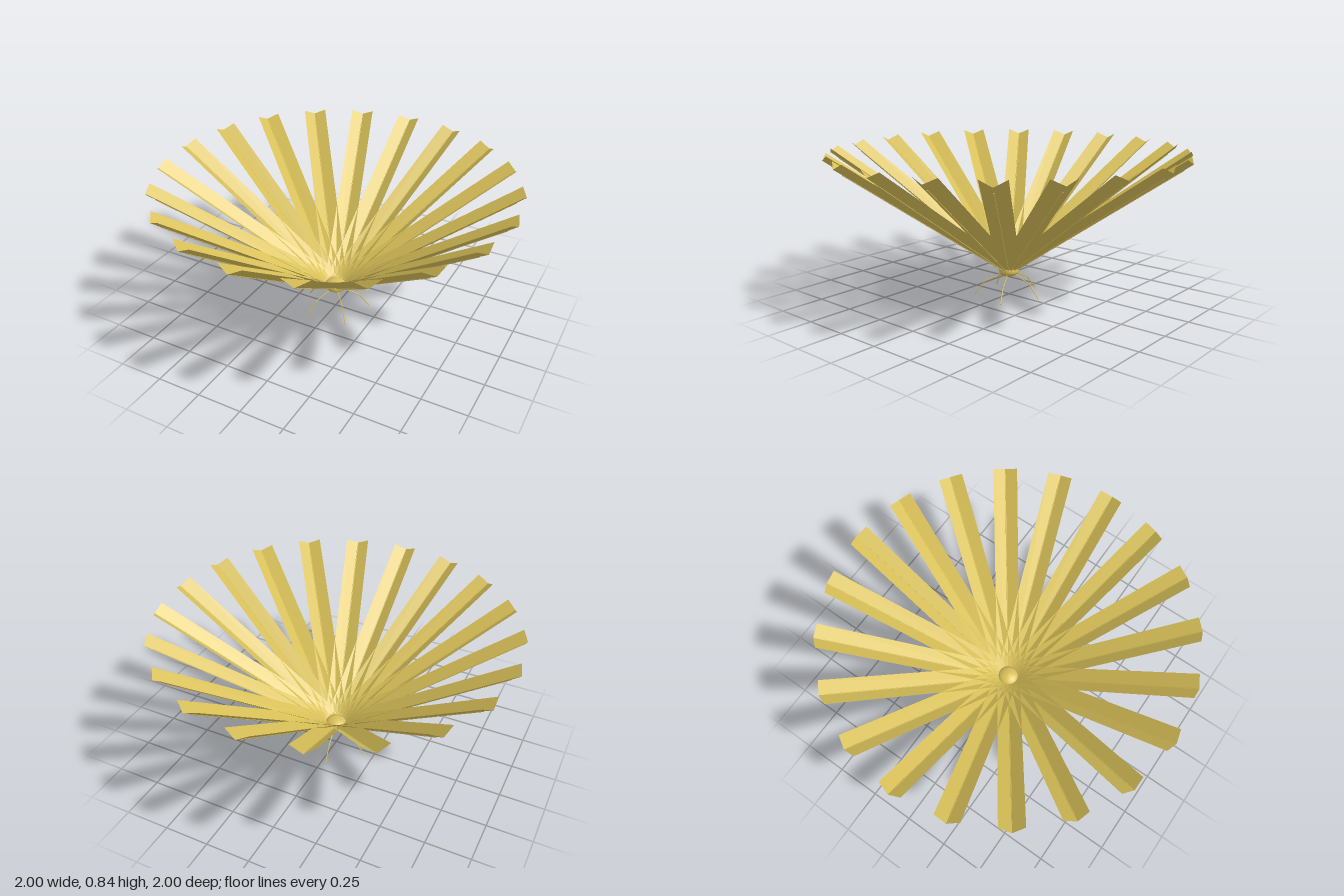
import * as THREE from 'three';

const gold = new THREE.MeshStandardMaterial({ color: 0xd8c058 });
gold.name = 'pale gold';
gold.side = THREE.DoubleSide;

const BLADES = 20, LEGS = 5;
const INNER = new THREE.Vector3(0.06, 0.158, 0);
const OUTER = new THREE.Vector3(1, 0.81, 0);

// Thin round bar between two points
function bar(a, b, radius, name) {
  const dir = b.clone().sub(a);
  const mesh = new THREE.Mesh(new THREE.CylinderGeometry(radius, radius, dir.length(), 6), gold);
  mesh.position.copy(a).addScaledVector(dir, 0.5);
  mesh.quaternion.setFromUnitVectors(new THREE.Vector3(0, 1, 0), dir.normalize());
  mesh.name = name;
  return mesh;
}

// Folded strip: a valley line with two raised edges, ends cut square to its axis
function bladeGeometry() {
  const axis = OUTER.clone().sub(INNER).normalize();
  const rise = new THREE.Vector3(-axis.y, axis.x, 0).multiplyScalar(0.037);
  const points = [];
  for (const side of [-1, 1]) {
    const edge = rise.clone().setZ(0.066 * side);
    const a = INNER, b = OUTER, c = OUTER.clone().add(edge), d = INNER.clone().add(edge);
    const quad = side < 0 ? [a, b, c, a, c, d] : [a, c, b, a, d, c];
    points.push(...quad);
  }
  const geometry = new THREE.BufferGeometry().setFromPoints(points);
  geometry.computeVertexNormals();
  return geometry;
}

export function createModel() {
  const model = new THREE.Group();
  model.name = 'foldedBladeBowl';

  // Ring of blades, each with a slim rib along its fold
  const shape = bladeGeometry();
  for (let i = 0; i < BLADES; i++) {
    const blade = new THREE.Group();
    blade.name = 'blade';
    const sheet = new THREE.Mesh(shape, gold);
    sheet.name = 'bladeSheet';
    blade.add(sheet, bar(INNER, INNER.clone().lerp(OUTER, 0.95), 0.003, 'bladeRib'));
    blade.rotation.y = (i / BLADES) * Math.PI * 2;
    model.add(blade);
  }

  // Hub: shallow cup below, short collar, domed top
  const profile = [[0, 0.105], [0.02, 0.108], [0.04, 0.118], [0.055, 0.13], [0.057, 0.14],
    [0.057, 0.158], [0.05, 0.166], [0.035, 0.175], [0.018, 0.18], [0, 0.182]];
  const hub = new THREE.Mesh(
    new THREE.LatheGeometry(profile.map(([x, y]) => new THREE.Vector2(x, y)), 32), gold);
  hub.name = 'hub';
  model.add(hub);

  // Bent wire legs
  const hip = new THREE.Vector3(0.04, 0.125, 0);
  const knee = new THREE.Vector3(0.138, 0.08, 0);
  const foot = new THREE.Vector3(0.197, 0.002, 0);
  for (let i = 0; i < LEGS; i++) {
    const leg = new THREE.Group();
    leg.name = 'leg';
    leg.add(bar(hip, knee, 0.003, 'upperLeg'), bar(knee, foot, 0.003, 'lowerLeg'));
    leg.rotation.y = -(46 + i * 72) * Math.PI / 180;
    model.add(leg);
  }
  return model;
}
